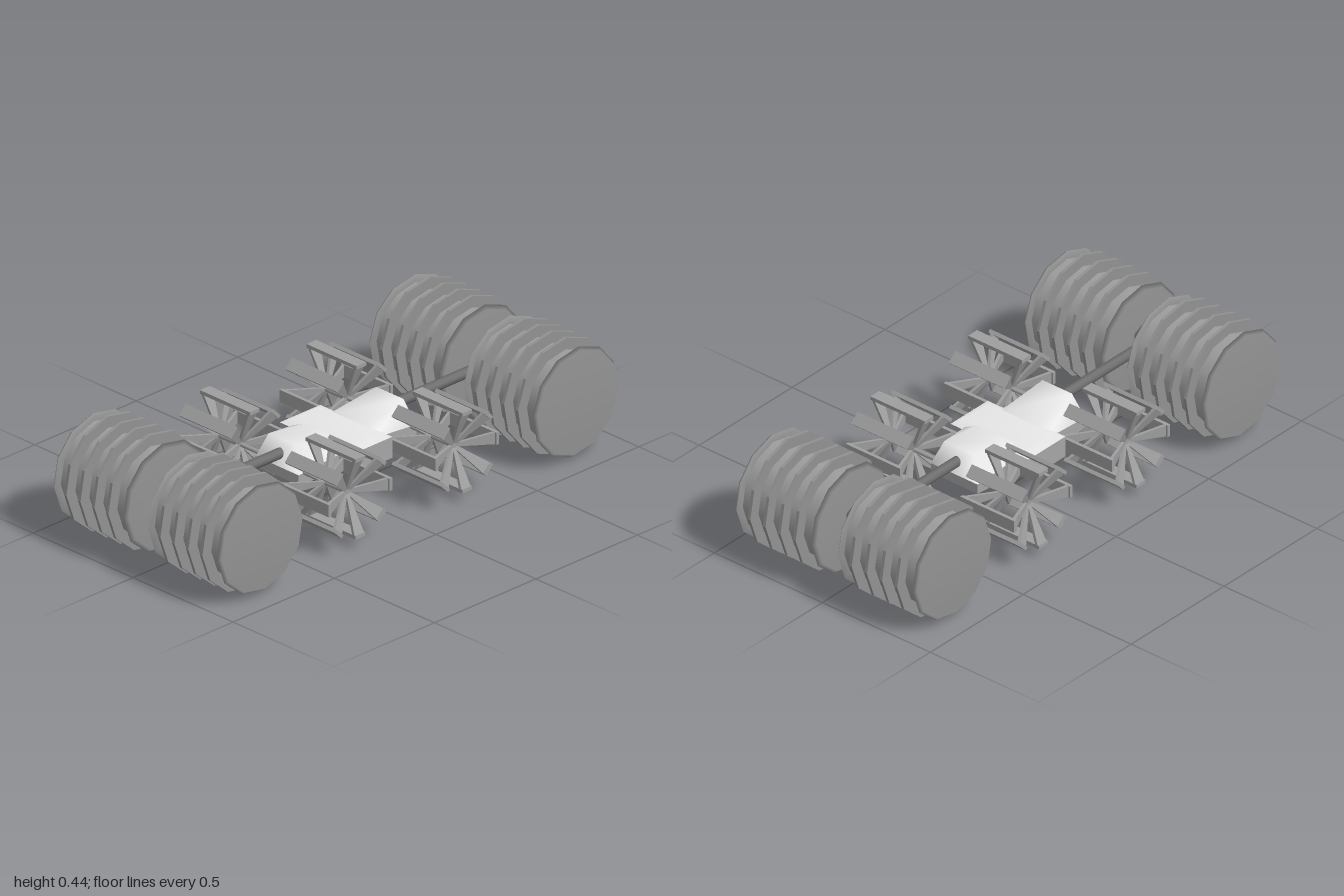
import * as THREE from 'three';
import { mergeVertices } from 'three/addons/utils/BufferGeometryUtils.js';

const mat = (name, color) => Object.assign(new THREE.MeshStandardMaterial({ color }), { name });

// facet normals for low-poly parts
function flat(geo) {
  const g = geo.index ? geo.toNonIndexed() : geo;
  g.computeVertexNormals();
  return g;
}

// blended normals over shared corners
function smooth(geo) {
  geo.deleteAttribute('normal');
  const g = mergeVertices(geo);
  g.computeVertexNormals();
  return g;
}

function add(parent, name, geo, material) {
  const mesh = new THREE.Mesh(geo, material);
  mesh.name = name;
  parent.add(mesh);
  return mesh;
}

// cylinder along x from x0 to x1
function xCylinder(x0, x1, r, sides = 12, start = -0.08) {
  const g = new THREE.CylinderGeometry(r, r, x1 - x0, sides, 1, false, start);
  return g.rotateZ(Math.PI / 2).translate((x0 + x1) / 2, 0, 0);
}

// turned part along x from [radius, x] pairs, given from the largest x down
function xLathe(profile) {
  const pts = profile.map(([r, x]) => new THREE.Vector2(r, -x));
  return new THREE.LatheGeometry(pts, 12, -0.08).rotateZ(Math.PI / 2);
}

// four corners of a section: half width, height and z at its front and back edges
const section = (w1, y1, z1, w2, y2, z2) => [[-w1, y1, z1], [w1, y1, z1], [w2, y2, z2], [-w2, y2, z2]];

// walls between two sections, closed at the bottom or at the top
function shell(a, b, cap) {
  const p = [];
  const quad = (i, j, k, l) => p.push(...i, ...j, ...k, ...i, ...k, ...l);
  for (let i = 0; i < 4; i++) {
    const j = (i + 1) % 4;
    quad(a[i], a[j], b[j], b[i]);
  }
  if (cap === 'top') quad(b[0], b[1], b[2], b[3]);
  else quad(a[0], a[3], a[2], a[1]);
  const g = new THREE.BufferGeometry();
  g.setAttribute('position', new THREE.Float32BufferAttribute(p, 3));
  g.computeVertexNormals();
  return g;
}

export function createModel() {
  const steel = mat('steel grey', 0x9e9e9e);
  const rim = mat('rim grey', 0x929292);
  const shaftGrey = mat('shaft grey', 0x6a6a6a);
  const mid = mat('mid grey', 0xa6a6a6);
  const light = mat('light grey', 0xe8e8e8);
  const model = new THREE.Group();
  model.name = 'drumVehicle';

  function block(parent, name, bottom, shoulder, top) {
    add(parent, name + 'Lower', shell(bottom, shoulder, 'bottom'), mid);
    add(parent, name + 'Upper', smooth(shell(shoulder, top, 'top')), light);
  }

  // ribbed rolling drum with rounded end flanges
  function drum() {
    const g = new THREE.Group();
    g.name = 'drum';
    add(g, 'drumBody', xCylinder(0.06, 0.41, 0.178), steel);
    add(g, 'innerFlange', xLathe([[0.17, 0.063], [0.21, 0.063], [0.195, 0.05], [0, 0.05]]), rim);
    add(g, 'outerFlange', xLathe([[0, 0.42], [0.2, 0.42], [0.21, 0.407], [0.17, 0.407]]), rim);
    for (const x of [0.13, 0.2, 0.27, 0.34]) {
      add(g, 'drumRib', flat(xCylinder(x - 0.006, x + 0.006, 0.222)), rim);
    }
    return g;
  }

  // tapered spoke leaning from the hub out to a paddle end
  function spokeGeometry(side) {
    const R = 0.15;
    const geo = new THREE.BoxGeometry(0.012, R, 1).translate(0, R / 2, 0);
    const p = geo.attributes.position;
    for (let i = 0; i < p.count; i++) {
      const t = p.getY(i) / R;
      p.setX(i, p.getX(i) + side * (0.05 + 0.065 * t));
      p.setZ(i, p.getZ(i) * (0.01 + 0.038 * t));
    }
    return flat(geo);
  }

  // paddle wheel with eight blades
  function paddleWheel() {
    const g = new THREE.Group();
    g.name = 'paddleWheel';
    for (let i = 0; i < 8; i++) {
      const arm = new THREE.Group();
      arm.name = 'paddleArm';
      arm.rotation.x = i * Math.PI / 4;
      const blade = add(arm, 'paddleBlade', new THREE.BoxGeometry(0.25, 0.014, 0.048), steel);
      blade.position.y = 0.15;
      for (const s of [-1, 1]) add(arm, 'paddleSpoke', spokeGeometry(s), steel);
      g.add(arm);
    }
    add(g, 'paddleHub', xCylinder(-0.06, 0.06, 0.01, 8), steel);
    return g;
  }

  // central block
  block(model, 'centreBlock',
    section(0.18, 0.155, 0.1, 0.18, 0.155, -0.1),
    section(0.18, 0.237, 0.1, 0.18, 0.237, -0.1),
    section(0.143, 0.256, 0.062, 0.143, 0.256, -0.062));

  // the two ends are the same, turned half round
  for (const turn of [0, Math.PI]) {
    const end = new THREE.Group();
    end.name = turn ? 'rearEnd' : 'frontEnd';
    end.rotation.y = turn;
    model.add(end);

    // hull end, rising outwards
    block(end, 'hullEnd',
      section(0.108, 0.157, 0.29, 0.135, 0.157, 0.05),
      section(0.108, 0.195, 0.29, 0.135, 0.232, 0.05),
      section(0.068, 0.29, 0.265, 0.088, 0.25, 0.05));

    // drive shaft and six-sided drum axle
    const shaft = new THREE.CylinderGeometry(0.02, 0.02, 0.52, 12).rotateX(Math.PI / 2);
    add(end, 'driveShaft', shaft, shaftGrey).position.set(0, 0.24, 0.51);
    const axle = xCylinder(-0.06, 0.06, 0.042, 6, Math.PI / 6);
    add(end, 'drumAxle', axle, shaftGrey).position.set(0, 0.238, 0.775);

    // drums and paddle wheels on both sides
    for (const s of [-1, 1]) {
      const d = drum();
      d.position.set(0, 0.2225, 0.778);
      d.scale.x = s;
      end.add(d);
      const w = paddleWheel();
      w.position.set(s * 0.265, 0.197, 0.263);
      end.add(w);
    }
    add(end, 'paddleAxle', xCylinder(-0.265, 0.265, 0.008, 8), steel).position.set(0, 0.197, 0.263);
  }
  return model;
}
